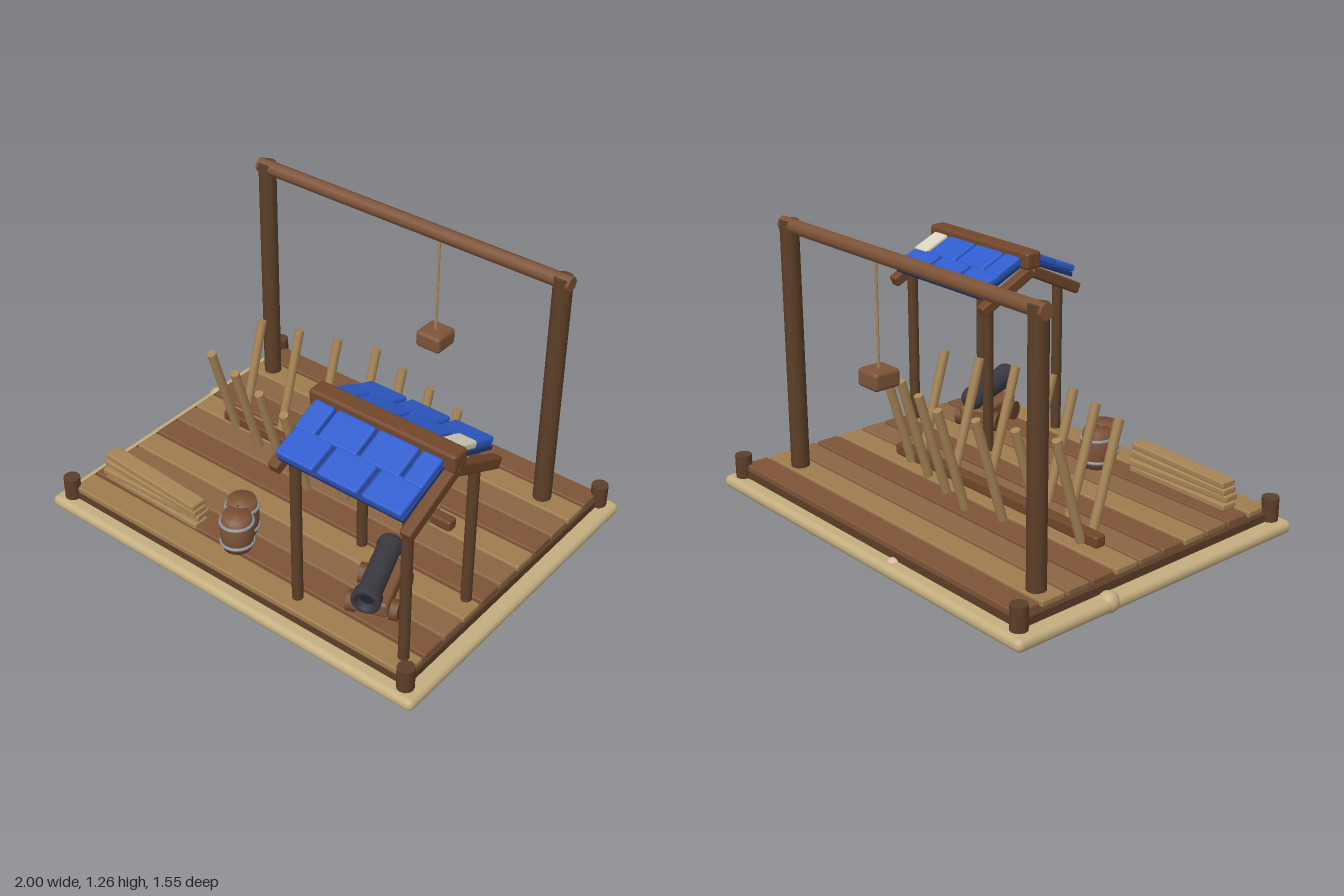
import * as THREE from 'three';
import { RoundedBoxGeometry } from 'three/addons/geometries/RoundedBoxGeometry.js';

const mat = (color, flatShading = false) => new THREE.MeshStandardMaterial({ color, flatShading });
const M = {
  sand: mat(0xc4ae80), dark: mat(0x5c3f28), mid: mat(0x7d5337), warm: mat(0x8a6543), tan: mat(0x9f7c4f),
  pole: mat(0xa88556), beam: mat(0x704629), blue: mat(0x2f5ccc), navy: mat(0x1f3a80), cream: mat(0xd9d2bc),
  iron: mat(0x3b3a42), bore: mat(0x222228), band: mat(0x8d949c), rope: mat(0xa8895c), shell: mat(0xe0b5a5),
};

export function createModel() {
  const root = new THREE.Group();
  root.name = 'trainingYard';

  const add = (parent, name, geo, material, x, y, z) => {
    const m = new THREE.Mesh(geo, material);
    m.name = name;
    m.position.set(x, y, z);
    parent.add(m);
    return m;
  };
  const box = (parent, name, w, h, d, material, x, y, z, r = 0.008) =>
    add(parent, name, new RoundedBoxGeometry(w, h, d, 2, r), material, x, y, z);
  const post = (parent, name, r, y0, y1, material, x, z, sides = 12) =>
    add(parent, name, new THREE.CylinderGeometry(r, r, y1 - y0, sides), material, x, (y0 + y1) / 2, z);
  const group = (name, x = 0, y = 0, z = 0) => {
    const g = new THREE.Group();
    g.name = name;
    g.position.set(x, y, z);
    root.add(g);
    return g;
  };

  // Sand base with a half-buried pebble and shell
  box(root, 'sandBase', 1.99, 0.058, 1.55, M.sand, 0, 0.041, 0, 0.028);
  add(root, 'pebble', new THREE.SphereGeometry(0.045, 14, 10), M.sand, -0.955, 0.045, -0.28);
  add(root, 'shell', new THREE.SphereGeometry(0.036, 14, 10), M.shell, -0.18, 0.046, -0.715);

  // Deck: frame, eleven planks, four corner posts
  const deck = group('deck');
  box(deck, 'deckFrame', 1.85, 0.045, 1.42, M.dark, 0, 0.085, 0, 0.006);
  const plankMats = [M.mid, M.tan, M.warm];
  for (let i = 0; i < 11; i++)
    box(deck, 'deckPlank', 1.82, 0.032, 0.117, plankMats[i % 3], 0.005, 0.115, -0.65 + 0.13 * i);
  for (const x of [-0.92, 0.92])
    for (const z of [-0.708, 0.708]) post(deck, 'cornerPost', 0.037, 0.06, 0.175, M.dark, x, z);

  // Gantry with a hanging weight
  const gantry = group('gantry', 0, 0, -0.528);
  for (const x of [-0.817, 0.738]) post(gantry, 'gantryPost', 0.041, 0.125, 1.255, M.dark, x, 0);
  const cross = add(gantry, 'gantryBeam', new THREE.CylinderGeometry(0.033, 0.033, 1.64, 8), M.mid, -0.04, 1.232, 0);
  cross.rotation.z = Math.PI / 2;
  post(gantry, 'rope', 0.006, 0.74, 1.22, M.rope, 0.135, 0, 8);
  box(gantry, 'hangingWeight', 0.128, 0.08, 0.13, M.mid, 0.135, 0.716, 0, 0.018);

  // Rack: ground beam with two fans of leaning poles
  const rack = group('poleRack', -0.1, 0, -0.1);
  box(rack, 'rackBeam', 1.295, 0.055, 0.055, M.beam, 0.018, 0.154, 0, 0.012);
  const lean = Math.atan2(0.14, 0.47);
  for (let i = -3; i <= 3; i++)
    for (const s of [-1, 1]) {
      const out = 0.1 + 0.049 * (3 - Math.abs(i));
      const p = add(rack, 'leaningPole', new THREE.CylinderGeometry(0.021, 0.021, 0.495, 8), M.pole,
        i * 0.1815, 0.373, s * out);
      p.rotation.x = s * lean;
    }

  // Shelter: posts, rafters, ridge and two tiled slopes
  const hut = group('shelter', 0.588, 0, 0.425);
  for (const x of [-0.269, 0.266])
    for (const z of [-0.21, 0.21]) post(hut, 'shelterPost', 0.024, 0.125, 0.86, M.dark, x, z, 10);
  box(hut, 'ridgeBeam', 0.685, 0.08, 0.085, M.beam, 0, 1.0, 0, 0.015);
  const wide = [[-0.208, 0.182], [-0.004, 0.19], [0.201, 0.182]];
  const staggered = [[-0.253, 0.098], [-0.1, 0.184], [0.098, 0.184], [0.25, 0.09]];
  for (const s of [-1, 1]) {
    for (const x of [-0.313, 0.31])
      box(hut, 'rafter', 0.05, 0.052, 0.32, M.beam, x, 0.882, s * 0.143, 0.01).rotation.x = s * 0.445;
    box(hut, 'roofPanel', 0.59, 0.02, 0.29, M.navy, 0, 0.928, s * 0.148, 0.005).rotation.x = s * 0.4;
    for (const [x, w] of wide)
      box(hut, 'lowerTile', w, 0.034, 0.145, M.blue, x, 0.923, s * 0.224, 0.012).rotation.x = s * 0.35;
    staggered.forEach(([x, w], i) => {
      const material = s < 0 && i === 3 ? M.cream : M.blue;
      box(hut, 'upperTile', w, 0.034, 0.145, material, x, 0.976, s * 0.107, 0.012).rotation.x = s * 0.4;
    });
  }

  // Cannon on a wheeled carriage
  const cannon = group('cannon', 0.585, 0, 0.44);
  cannon.rotation.y = 0.37;
  box(cannon, 'carriage', 0.15, 0.07, 0.29, M.mid, 0, 0.21, 0, 0.015);
  for (const x of [-0.09, 0.09])
    for (const z of [-0.085, 0.085]) {
      const w = add(cannon, 'carriageWheel', new THREE.CylinderGeometry(0.045, 0.045, 0.035, 12), M.beam, x, 0.176, z);
      w.rotation.z = Math.PI / 2;
    }
  const profile = [[0, -0.185], [0.03, -0.182], [0.05, -0.165], [0.056, -0.14], [0.05, -0.12], [0.05, 0.15],
    [0.06, 0.16], [0.062, 0.2], [0.054, 0.208], [0.036, 0.208], [0.034, 0.16]].map(([r, y]) => new THREE.Vector2(r, y));
  add(cannon, 'cannonBarrel', new THREE.LatheGeometry(profile, 18), M.iron, 0, 0.298, 0).rotation.x = Math.PI / 2;
  const bore = add(cannon, 'bore', new THREE.CircleGeometry(0.036, 18), M.bore, 0, 0.298, 0.175);
  bore.name = 'cannonBore';

  // Two kegs with metal bands
  const kegProfile = [[0, 0], [0.062, 0], [0.071, 0.05], [0.073, 0.085], [0.071, 0.12], [0.062, 0.17], [0, 0.17]]
    .map(([r, y]) => new THREE.Vector2(r, y));
  for (const [x, z] of [[-0.13, 0.463], [-0.08, 0.552]]) {
    const keg = group('keg', x, 0.13, z);
    add(keg, 'kegBody', new THREE.LatheGeometry(kegProfile, 16), M.mid, 0, 0, 0);
    for (const y of [0.034, 0.136])
      add(keg, 'kegBand', new THREE.TorusGeometry(0.069, 0.008, 8, 20), M.band, 0, y, 0).rotation.x = Math.PI / 2;
  }

  // Stack of loose boards
  const stack = group('boardStack', -0.558, 0.147, 0.552);
  [0.02, -0.03, 0.03, 0.055].forEach((turn, i) => {
    box(stack, 'looseBoard', 0.555, 0.029, 0.075, M.pole, 0, i * 0.035, 0, 0.007).rotation.y = -turn;
  });

  return root;
}
